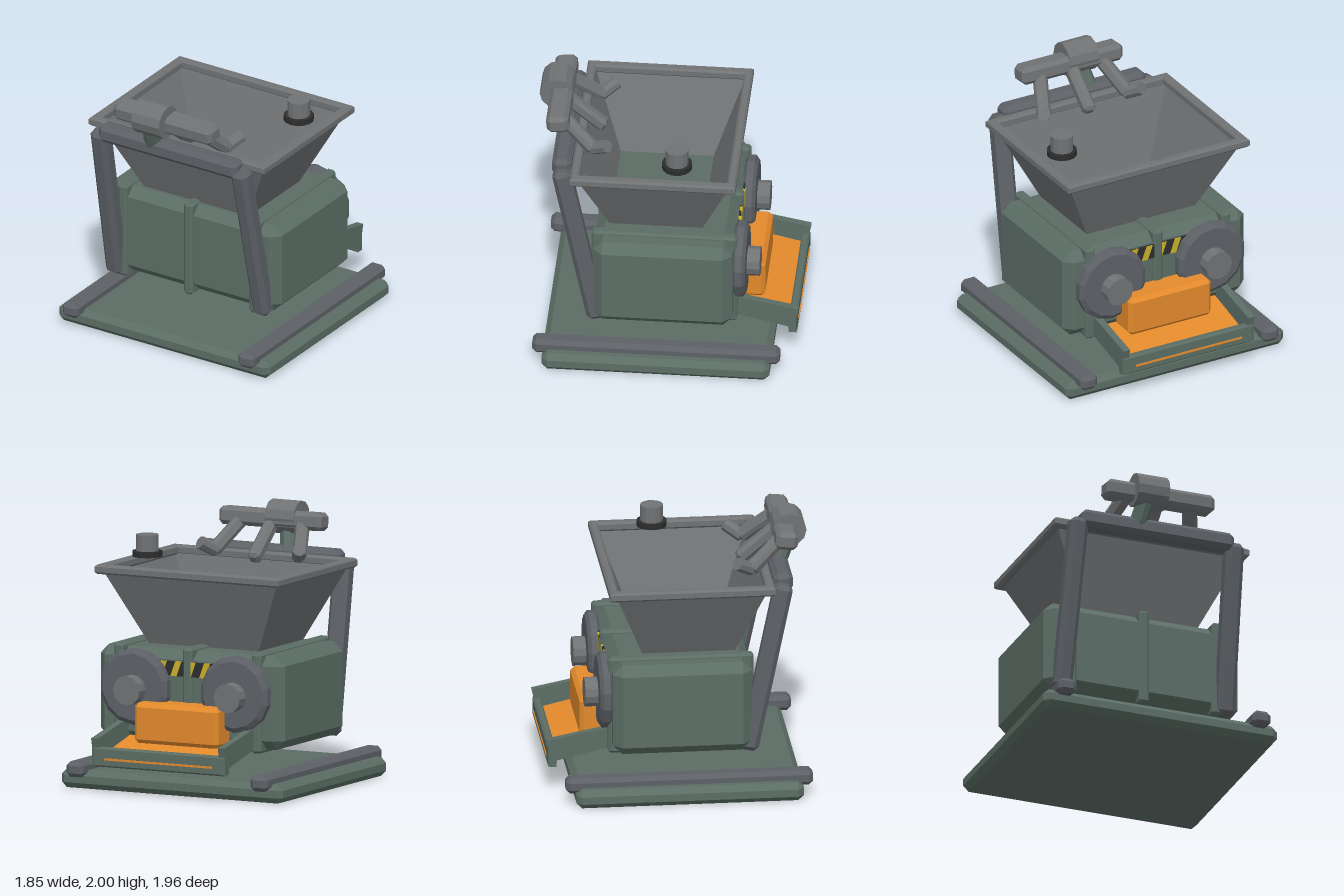
import * as THREE from 'three';
import { ConvexGeometry } from 'three/addons/geometries/ConvexGeometry.js';

const mat = (color) => new THREE.MeshStandardMaterial({ color, flatShading: true, side: THREE.DoubleSide });
const V = (x, y, z) => new THREE.Vector3(x, y, z);

// Box with every edge cut at 45 degrees
function chamferBox(w, h, d, c) {
  const pts = [];
  for (const sx of [-1, 1]) for (const sy of [-1, 1]) for (const sz of [-1, 1]) {
    const [x, y, z] = [w / 2, h / 2, d / 2];
    pts.push(V(sx * x, sy * (y - c), sz * (z - c)),
      V(sx * (x - c), sy * y, sz * (z - c)),
      V(sx * (x - c), sy * (y - c), sz * z));
  }
  return new ConvexGeometry(pts);
}

export function createModel() {
  const model = new THREE.Group();
  const green = mat(0x5b6d65), grey = mat(0x707274), steel = mat(0x5d6166);
  const orange = mat(0xe38a2c), yellow = mat(0xc9b02a), black = mat(0x2c2d2e);

  function add(name, geo, material, x = 0, y = 0, z = 0) {
    const m = new THREE.Mesh(geo, material);
    m.name = name;
    m.position.set(x, y, z);
    model.add(m);
    return m;
  }
  // Chamfered box given by its limits
  const block = (name, material, [x0, x1], [y0, y1], [z0, z1], c) =>
    add(name, chamferBox(x1 - x0, y1 - y0, z1 - z0, c), material, (x0 + x1) / 2, (y0 + y1) / 2, (z0 + z1) / 2);
  // Bar between two points; round gives an octagonal rod
  function bar(name, material, a, b, w, c, round = false) {
    const len = a.distanceTo(b);
    const geo = round ? new THREE.CylinderGeometry(w / 2, w / 2, len, 8) : chamferBox(w, len, w, c);
    const m = add(name, geo, material);
    m.position.copy(a).add(b).multiplyScalar(0.5);
    m.quaternion.setFromUnitVectors(V(0, 1, 0), b.clone().sub(a).normalize());
    return m;
  }

  // Base plate and runners
  block('basePlate', green, [-0.925, 0.925], [0, 0.14], [-0.79, 0.895], 0.042);
  for (const s of [-1, 1]) {
    add('runner', chamferBox(0.14, 0.115, 1.83, 0.03), steel, s * 0.77, 0.15, 0.055);
  }

  // Housing with three ribs
  block('housing', green, [-0.77, 0.77], [0.345, 1.04], [-0.5, 0.53], 0.07);
  for (const x of [-0.575, 0, 0.575]) {
    block('housingRib', green, [x - 0.04, x + 0.04], [0.32, 1.065], [-0.525, 0.55], 0.018);
  }

  // Hopper: sloping walls from the lower to the upper rectangle
  const ring = (x, y, z0, z1) => [V(-x, y, z0), V(-x, y, z1), V(x, y, z1), V(x, y, z0)];
  const low = ring(0.455, 1.03, -0.255, 0.425), high = ring(0.73, 1.59, -0.475, 0.64);
  const walls = [];
  for (let i = 0; i < 4; i++) {
    const j = (i + 1) % 4;
    walls.push(low[i], low[j], high[j], low[i], high[j], high[i]);
  }
  const hopperGeo = new THREE.BufferGeometry().setFromPoints(walls);
  hopperGeo.computeVertexNormals();
  add('hopper', hopperGeo, grey);

  // Hopper rim
  const rect = (P, x, z) => new P([[-x, -z], [x, -z], [x, z], [-x, z]].map(([a, b]) => new THREE.Vector2(a, b)));
  const rimShape = rect(THREE.Shape, 0.755, 0.598);
  rimShape.holes.push(rect(THREE.Path, 0.71, 0.56));
  const rim = add('hopperRim', new THREE.ExtrudeGeometry(rimShape,
    { depth: 0.04, bevelSize: 0.015, bevelThickness: 0.015, bevelSegments: 1 }), grey, 0, 1.58, 0.085);
  rim.rotation.x = -Math.PI / 2;

  // Capped stack beside the hopper mouth
  add('stackCollar', new THREE.CylinderGeometry(0.112, 0.112, 0.042, 14), black, 0.57, 1.675, -0.08);
  add('stack', new THREE.CylinderGeometry(0.085, 0.085, 0.125, 14), grey, 0.57, 1.755, -0.08);

  // Leaning front frame
  for (const s of [-1, 1]) {
    bar('frameLeg', steel, V(s * 0.645, 0.33, 0.505), V(s * 0.615, 1.61, 0.775), 0.14, 0.035);
  }
  block('frameCrossbar', steel, [-0.605, 0.605], [1.535, 1.675], [0.7, 0.845], 0.035);

  // Rake with its drum, bracket and tines
  const handle = add('rakeBar', chamferBox(0.855, 0.135, 0.165, 0.03), grey, -0.003, 1.86, 0.82);
  handle.rotation.x = 0.1;
  const drum = add('rakeDrum', new THREE.CylinderGeometry(0.127, 0.127, 0.244, 12), grey, -0.092, 1.873, 0.858);
  drum.rotation.z = Math.PI / 2;
  bar('rakeBracket', green, V(-0.1, 1.86, 0.88), V(-0.155, 1.61, 0.775), 0.12, 0.03);
  bar('rakeTine', grey, V(-0.003, 1.85, 0.81), V(-0.003, 1.59, 0.5), 0.1, 0.025);
  for (const s of [-1, 1]) {
    bar('rakeTine', grey, V(s * 0.25, 1.85, 0.81), V(s * 0.36, 1.625, 0.55), 0.1, 0.025);
    bar('rakeTip', grey, V(s * 0.345, 1.63, 0.565), V(s * 0.415, 1.7, 0.45), 0.1, 0, true);
  }

  // Rear wheels with hubs
  const wheelProfile = [[0, -0.05], [0.25, -0.05], [0.285, -0.025], [0.285, 0.025], [0.25, 0.05], [0, 0.05]]
    .map(([r, y]) => new THREE.Vector2(r, y));
  for (const s of [-1, 1]) {
    const wheel = add('wheel', new THREE.LatheGeometry(wheelProfile, 14), steel, s * 0.42, 0.755, -0.54);
    const hub = add('wheelHub', new THREE.CylinderGeometry(0.11, 0.11, 0.12, 12), grey, s * 0.42, 0.74, -0.625);
    wheel.rotation.x = hub.rotation.x = Math.PI / 2;
  }

  // Warning strip between the wheels
  add('warningPanel', new THREE.BoxGeometry(0.84, 0.11, 0.03), black, 0, 0.905, -0.5);
  for (let i = 0; i < 7; i++) {
    const x = -0.39 + i * 0.12;
    const stripe = new THREE.Shape([[x, -0.055], [x + 0.05, -0.055], [x + 0.01, 0.055], [x - 0.04, 0.055]]
      .map(([a, b]) => new THREE.Vector2(a, b)));
    add('warningStripe', new THREE.ExtrudeGeometry(stripe, { depth: 0.03, bevelEnabled: false }), yellow, 0, 0.905, -0.52);
  }

  // Outlet box and sloping chute
  block('outletBox', orange, [-0.35, 0.35], [0.36, 0.66], [-0.71, -0.48], 0.03);
  const floor = add('chuteFloor', new THREE.BoxGeometry(1.0, 0.03, 0.46), orange, 0, 0.315, -0.7);
  floor.rotation.x = -0.23;
  const side = new THREE.Shape([[-0.49, 0.51], [-0.975, 0.415], [-0.96, 0.35], [-0.96, 0.21], [-0.905, 0.21],
    [-0.9, 0.26], [-0.49, 0.355]].map(([z, y]) => new THREE.Vector2(z, y)));
  for (const s of [-1, 1]) {
    const wall = add('chuteSide', new THREE.ExtrudeGeometry(side, { depth: 0.055, bevelEnabled: false }), green, s * 0.53 + 0.0275);
    wall.rotation.y = -Math.PI / 2;
  }
  block('chuteLip', green, [-0.555, 0.555], [0.205, 0.35], [-0.965, -0.905], 0.012);
  add('chuteLipStrip', new THREE.BoxGeometry(0.9, 0.015, 0.03), orange, 0, 0.265, -0.957);

  return model;
}
